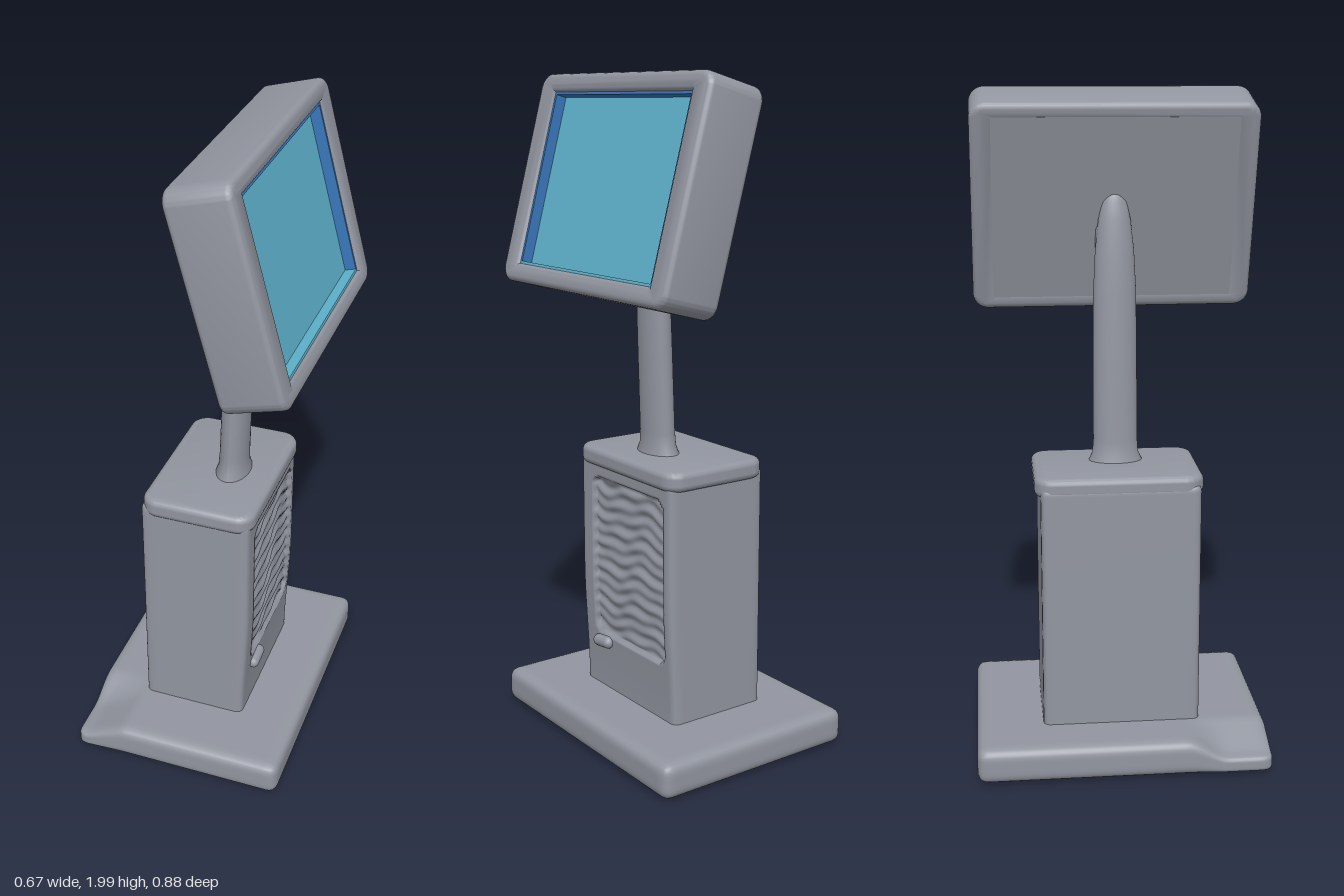
import * as THREE from 'three';
import { mergeVertices, toCreasedNormals } from 'three/addons/utils/BufferGeometryUtils.js';

const mat = (name, color) => {
  const m = new THREE.MeshStandardMaterial({ color });
  m.name = name;
  return m;
};

const smoothstep = THREE.MathUtils.smoothstep;
const clamp = THREE.MathUtils.clamp;

// Box with rounded edges spanning min..max; deform(v) may then move each vertex
function roundBox(min, max, r, segs, deform) {
  const size = max.map((m, i) => m - min[i]);
  const geo = new THREE.BoxGeometry(...size, ...segs);
  geo.deleteAttribute('uv');
  geo.deleteAttribute('normal');
  const half = new THREE.Vector3(...size).multiplyScalar(0.5);
  const inner = half.clone().subScalar(r);
  const centre = new THREE.Vector3(...min).add(half);
  const pos = geo.attributes.position;
  const v = new THREE.Vector3(), c = new THREE.Vector3();
  for (let i = 0; i < pos.count; i++) {
    v.fromBufferAttribute(pos, i);
    c.copy(v).clamp(inner.clone().negate(), inner);
    v.sub(c).setLength(r).add(c).add(centre);
    if (deform) deform(v);
    pos.setXYZ(i, v.x, v.y, v.z);
  }
  const out = mergeVertices(geo, 1e-5);
  out.computeVertexNormals();
  return out;
}

// Rounded rectangle outline, centred on the origin
function roundedRect(target, hw, hh, r) {
  target.moveTo(-hw + r, -hh);
  target.lineTo(hw - r, -hh).absarc(hw - r, -hh + r, r, -Math.PI / 2, 0);
  target.lineTo(hw, hh - r).absarc(hw - r, hh - r, r, 0, Math.PI / 2);
  target.lineTo(-hw + r, hh).absarc(-hw + r, hh - r, r, Math.PI / 2, Math.PI);
  target.lineTo(-hw, -hh + r).absarc(-hw + r, -hh + r, r, Math.PI, Math.PI * 1.5);
  return target;
}

// Bevelled slab of full thickness t along z, centred
function slab(shape, t, bevel) {
  const geo = new THREE.ExtrudeGeometry(shape, {
    depth: t - 2 * bevel, bevelThickness: bevel, bevelSize: bevel, bevelSegments: 4, curveSegments: 6,
  });
  geo.translate(0, 0, -t / 2 + bevel);
  return toCreasedNormals(geo, 0.7);
}

export function createModel() {
  const grey = mat('casing grey', 0x9296a0);
  const teal = mat('screen teal', 0x5fb4cf);
  const blue = mat('screen edge blue', 0x3a78bc);

  const model = new THREE.Group();
  const add = (name, geo, material, parent = model) => {
    const mesh = new THREE.Mesh(geo, material);
    mesh.name = name;
    parent.add(mesh);
    return mesh;
  };

  // Foot plate, one corner pressed down into a thin flap
  add('basePlate', roundBox([-0.335, 0.005, -0.44], [0.33, 0.112, 0.44], 0.03, [44, 10, 56], (v) => {
    const drop = smoothstep(v.z, 0.18, 0.31) * clamp((-0.18 - v.x) / 0.12, 0, 1);
    v.y = 0.005 + (v.y - 0.005) * (1 - 0.5 * drop);
    if (v.y < 0.006) v.y -= 0.005 * smoothstep(0.3 - Math.abs(v.x), 0, 0.05);
  }), grey);

  // Cabinet with a rippled recess in its +x side
  add('cabinet', roundBox([-0.175, 0.08, -0.238], [0.165, 0.86, 0.238], 0.022, [24, 110, 64], (v) => {
    const inZ = 0.1825 - Math.abs(v.z + 0.0125);
    const inY = 0.25 - Math.abs(v.y - 0.54);
    if (v.x > 0.16 && inZ > 0 && inY > 0 && Math.hypot(Math.max(0.03 - inZ, 0), Math.max(0.03 - inY, 0)) < 0.03) {
      const ripple = Math.sin(v.y * 150 + 2.2 * Math.sin(v.z * 17) + Math.sin(v.z * 41 + v.y * 13))
        + 0.5 * Math.sin(v.y * 83 - v.z * 24);
      v.x -= 0.012 - 0.0035 * ripple;
    }
    if (v.x > 0) v.x -= 0.015 * (1 - smoothstep(v.y, 0.1, 0.5));
  }), grey);

  // Cabinet lid
  const lid = slab(roundedRect(new THREE.Shape(), 0.155, 0.231, 0.035), 0.06, 0.02);
  add('cabinetLid', lid.rotateX(Math.PI / 2).translate(0, 0.855, -0.004), grey);

  // Small catch under the recess
  const catchMesh = add('catch', new THREE.CapsuleGeometry(0.019, 0.05, 6, 12).rotateX(Math.PI / 2), grey);
  catchMesh.position.set(0.16, 0.264, 0.125);
  catchMesh.rotation.x = 0.12;

  // Leaning oval post with a tapered, rounded top: radius, height
  const profile = [[0.082, 0.87], [0.08, 0.888], [0.07, 0.91], [0.067, 0.95], [0.066, 1.2], [0.064, 1.4],
    [0.058, 1.52], [0.048, 1.61], [0.036, 1.665], [0.02, 1.693], [0, 1.702]];
  const post = new THREE.LatheGeometry(profile.map((p) => new THREE.Vector2(...p)), 32);
  const pp = post.attributes.position;
  for (let i = 0; i < pp.count; i++) {
    const y = pp.getY(i);
    pp.setX(i, pp.getX(i) * 0.64 + 0.04 + (y - 0.9) * 0.034);
  }
  post.computeVertexNormals();
  add('post', post, grey);

  // Bracket between post and monitor
  add('bracket', roundBox([0.05, 1.5, -0.055], [0.15, 1.6, 0.045], 0.025, [10, 10, 10]), grey);

  // Monitor, tipped back; its screen looks along local +x
  const monitor = new THREE.Group();
  monitor.name = 'monitor';
  monitor.position.set(0.155, 1.665, 0);
  monitor.rotation.z = 0.264;
  model.add(monitor);

  const bevel = 0.018, holeZ = 0.359, holeY = 0.277;
  const outline = roundedRect(new THREE.Shape(), 0.42 - bevel, 0.316 - bevel, 0.028);
  outline.holes.push(roundedRect(new THREE.Path(), holeZ, holeY, 0.012));
  add('monitorFrame', slab(outline, 0.19, bevel).rotateY(Math.PI / 2), grey, monitor);

  const back = new THREE.BoxGeometry(0.14, holeY * 2, holeZ * 2);
  add('monitorBack', back.translate(-0.0253, 0, 0), grey, monitor);

  const openZ = holeZ - bevel, openY = holeY - bevel;
  const screen = new THREE.BoxGeometry(0.006, openY * 2, openZ * 2);
  add('screen', screen.translate(0.047, 0, 0), teal, monitor);

  // Thin lining around the screen
  const liner = (name, h, d, y, z, material) =>
    add(name, new THREE.BoxGeometry(0.036, h, d).translate(0.065, y, z), material, monitor);
  liner('screenEdgeTop', 0.008, openZ * 2, openY - 0.003, 0, blue);
  liner('screenEdgeBottom', 0.008, openZ * 2, -openY + 0.003, 0, teal);
  for (const s of [-1, 1]) liner('screenEdgeSide', openY * 2, 0.008, 0, s * (openZ - 0.003), blue);

  return model;
}
